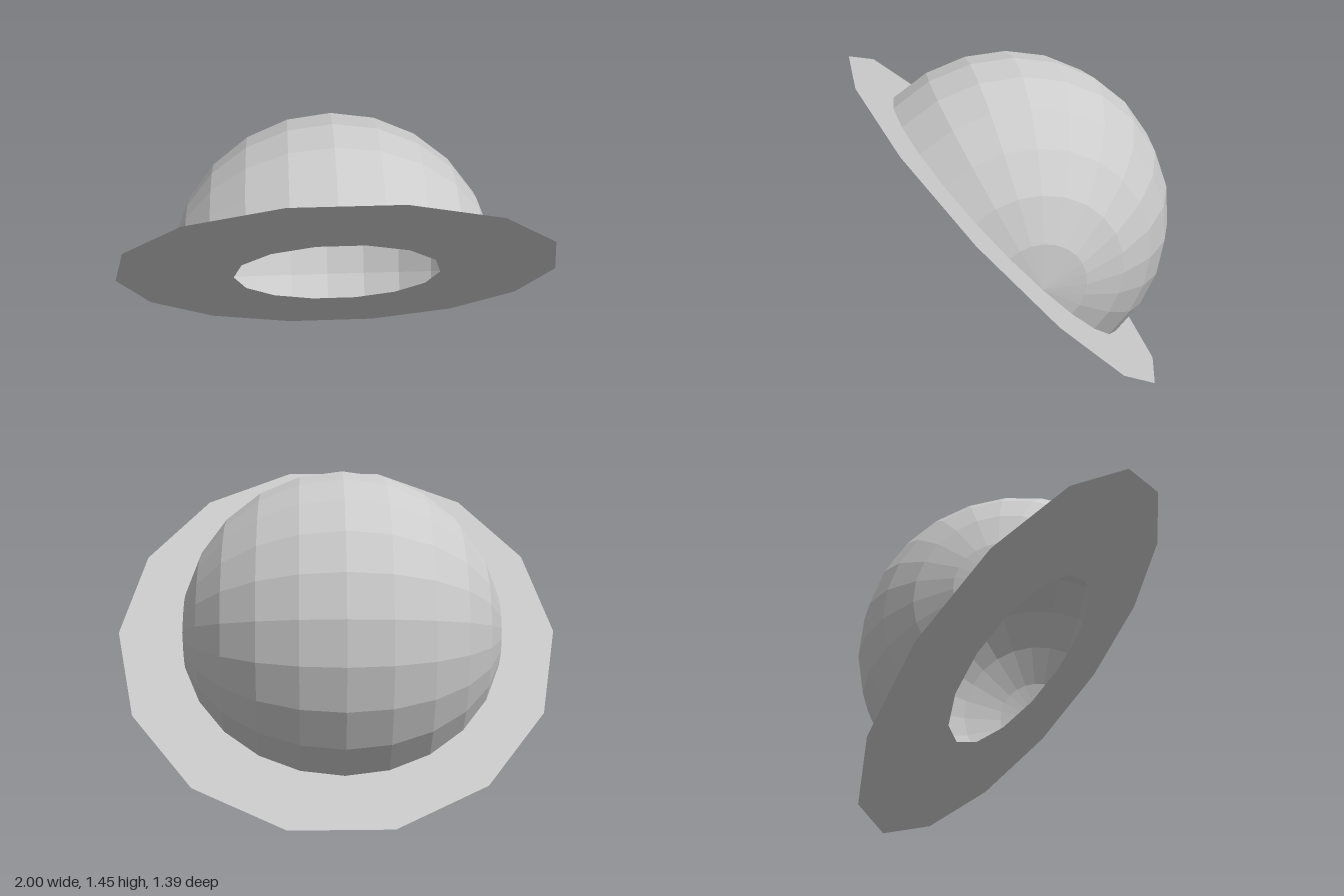
import * as THREE from 'three';

export function createModel() {
  const material = new THREE.MeshStandardMaterial({
    color: 0xcccccc,
    flatShading: true,
    side: THREE.DoubleSide,
  });

  // Flat 14-sided brim with a round opening
  const brim = new THREE.Mesh(new THREE.RingGeometry(0.47, 1, 14, 1), material);
  brim.name = 'brim';

  // Open half sphere behind the brim, its poles lying on the x axis
  const domeGeometry = new THREE.SphereGeometry(0.731, 12, 12, Math.PI, Math.PI);
  domeGeometry.rotateZ(Math.PI / 2);
  const dome = new THREE.Mesh(domeGeometry, material);
  dome.name = 'dome';
  dome.position.x = -0.02;

  // Whole hat leans forward so the opening faces front and down
  const hat = new THREE.Group();
  hat.name = 'hat';
  hat.add(brim, dome);
  hat.rotation.x = 0.742;
  hat.position.set(0, 0.72, 0.032);

  const model = new THREE.Group();
  model.name = 'domedHat';
  model.add(hat);
  return model;
}
